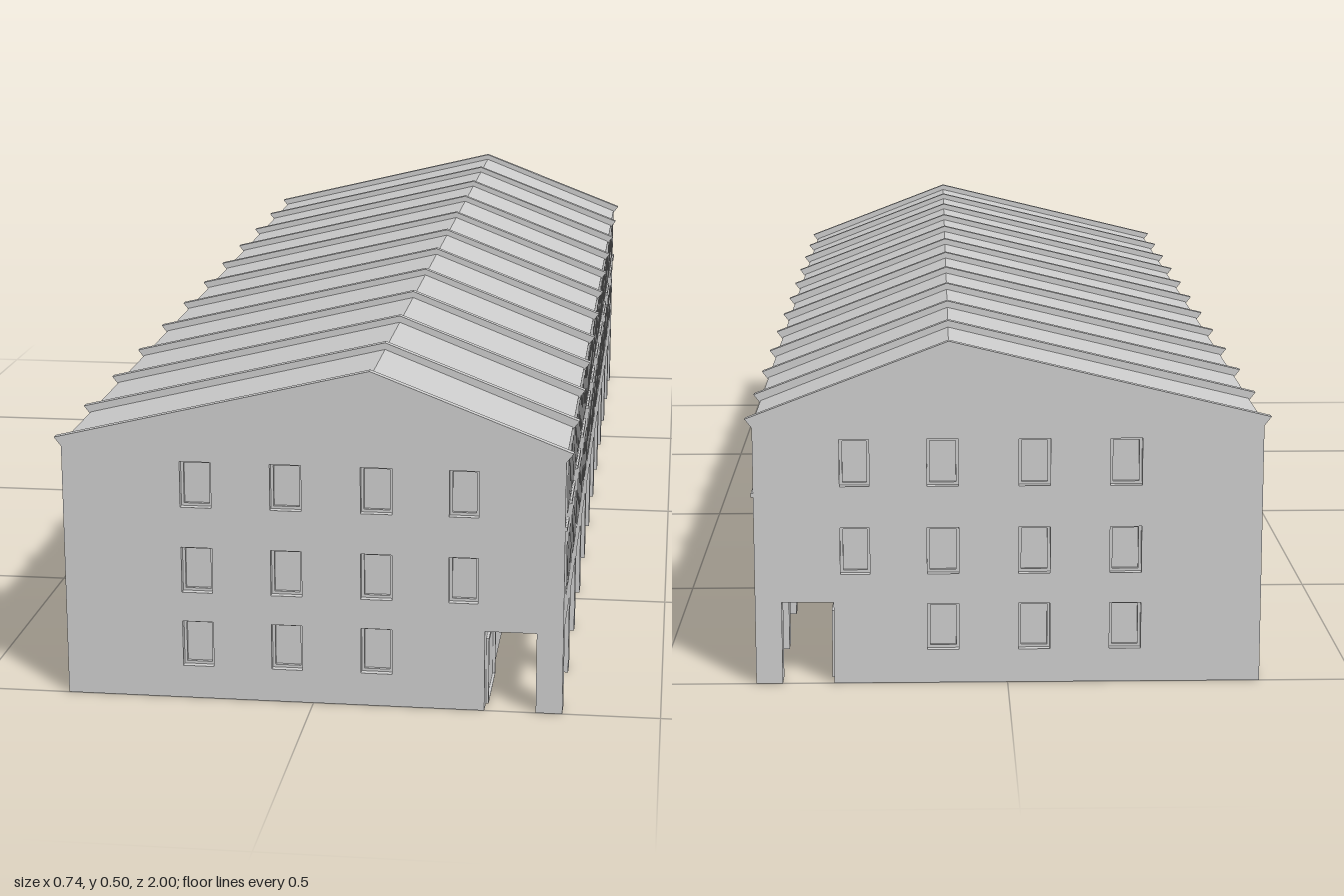
import * as THREE from 'three';

const BAYS = 11, BAY = 2 / BAYS, SKIN = 0.015;
const LEFT = -0.362, RIGHT = 0.36, EAVE = 0.378, RIDGE_X = 0.083, RIDGE_Y = 0.487;
const HALL = 0.248, PILLAR = 0.322, ARCH = 0.12;

const polygon = (pts) => new THREE.Shape(pts.map(([x, y]) => new THREE.Vector2(x, y)));
const rect = (x, y, w, h) => [[x - w / 2, y], [x + w / 2, y], [x + w / 2, y + h], [x - w / 2, y + h]];
const extrude = (shape, depth) => new THREE.ExtrudeGeometry(shape, { depth, bevelEnabled: false });

export function createModel() {
  const model = new THREE.Group();
  const material = new THREE.MeshStandardMaterial({ color: 0xcccccc, flatShading: true });
  const add = (name, geometry, parent, x = 0, y = 0, z = 0) => {
    const mesh = new THREE.Mesh(geometry, material);
    mesh.name = name;
    mesh.position.set(x, y, z);
    parent.add(mesh);
    return mesh;
  };

  // A wall skin with window openings, each holding a thin frame
  const wall = (name, outline, windows) => {
    const group = new THREE.Group();
    group.name = name;
    const shape = polygon(outline);
    windows.forEach((w) => {
      shape.holes.push(polygon(rect(...w)));
      const [x, y, width, height] = w;
      const frame = polygon(rect(...w));
      frame.holes.push(polygon(rect(x, y + 0.004, width - 0.008, height - 0.008)));
      add('windowFrame', extrude(frame, 0.005), group);
    });
    add(name + 'Panel', extrude(shape, SKIN), group);
    model.add(group);
    return group;
  };

  // Main volume, stepped back at ground level for the arcade
  const inner = RIGHT - SKIN;
  const core = polygon([[LEFT, 0], [HALL, 0], [HALL, ARCH], [inner, ARCH], [inner, EAVE],
    [RIGHT, EAVE], [RIDGE_X, RIDGE_Y], [LEFT, EAVE]]);
  add('buildingCore', extrude(core, 2 - 2 * SKIN), model, 0, 0, -1 + SKIN);

  // Gable walls with the passage opening
  const gable = [[LEFT, 0], [HALL, 0], [HALL, ARCH], [PILLAR, ARCH], [PILLAR, 0], [RIGHT, 0],
    [RIGHT, EAVE], [RIDGE_X, RIDGE_Y], [LEFT, EAVE]];
  const columns = [-0.168, -0.038, 0.092, 0.217];
  const gableWindows = (side) => [0.049, 0.161, 0.289].flatMap((y, row) =>
    columns.filter((x, i) => row > 0 || i < 3).map((x) => [x * side, y, x > 0.2 ? 0.042 : 0.045, 0.068]));
  wall('frontGable', gable, gableWindows(1)).position.z = 1 - SKIN;
  const back = wall('backGable', gable.map(([x, y]) => [-x, y]).reverse(), gableWindows(-1));
  back.rotation.y = Math.PI;
  back.position.z = -1 + SKIN;

  // Long window facade above the arcade
  const half = 1 - SKIN;
  const sideWindows = [];
  for (let i = 0; i < BAYS; i++) {
    const centre = -1 + (i + 0.5) * BAY;
    for (const offset of [-0.062, -0.021, 0.021, 0.062]) {
      for (const y of [0.16, 0.282]) sideWindows.push([centre + offset, y, 0.03, 0.074]);
    }
  }
  const facade = wall('arcadeFacade', [[-half, ARCH], [half, ARCH], [half, EAVE], [-half, EAVE]], sideWindows);
  facade.rotation.y = Math.PI / 2;
  facade.position.x = inner;

  // Pillars, facade sills and roof ribs at every bay line
  const ribShape = polygon([[LEFT, EAVE - 0.004], [RIDGE_X, RIDGE_Y - 0.004], [RIGHT, EAVE - 0.004],
    [0.37, 0.387], [RIDGE_X, 0.497], [-0.372, 0.387]]);
  for (let i = 0; i <= BAYS; i++) {
    const z = -1 + i * BAY;
    const pz = THREE.MathUtils.clamp(z, -0.984, 0.984);
    add('pillar', new THREE.BoxGeometry(RIGHT - PILLAR, ARCH, 0.032), model, (RIGHT + PILLAR) / 2, ARCH / 2, pz);
    add('roofRib', extrude(ribShape, 0.012), model, 0, 0, THREE.MathUtils.clamp(z - 0.006, -1, 0.988));
    const from = Math.max(z - 0.05, -1), to = Math.min(z + 0.05, 1);
    add('sill', new THREE.BoxGeometry(0.004, 0.006, to - from), model, RIGHT + 0.001, 0.277, (from + to) / 2);
  }

  // Doorways in the arcade wall of the end bays
  for (const side of [-1, 1]) {
    const frame = polygon(rect(0, 0, 0.125, 0.1));
    frame.holes.push(polygon(rect(0, 0.001, 0.113, 0.093)));
    add('doorFrame', extrude(frame, 0.004), model, HALL, 0, side * 0.91).rotation.y = Math.PI / 2;
  }
  return model;
}
